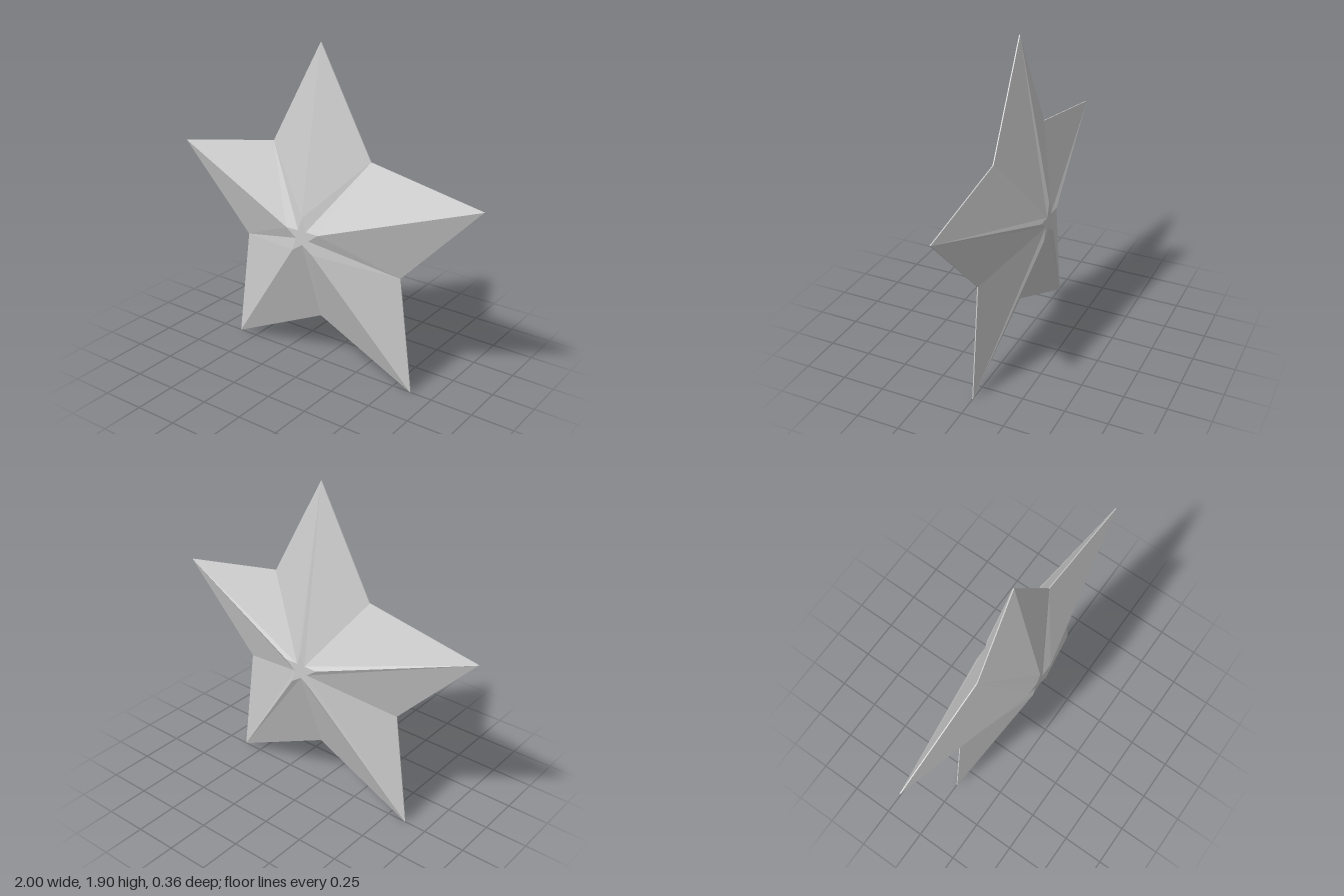
import * as THREE from 'three';

const CENTRE_Y = 0.851;

// Ten-cornered star outline, counter-clockwise seen from +z, starting at the top point
function starRing(outer, inner, z) {
  return Array.from({ length: 10 }, (_, i) => {
    const r = i % 2 ? inner : outer;
    const a = Math.PI / 2 + (i * Math.PI) / 5;
    return [r * Math.cos(a), r * Math.sin(a), z];
  });
}

function starGeometry() {
  // Cross-sections from back to front: small flat, rim, rim, small flat
  const rings = [
    starRing(0.113, 0.045, -0.18),
    starRing(1.0515, 0.556, -0.003),
    starRing(1.0515, 0.556, 0.003),
    starRing(0.113, 0.045, 0.18),
  ];
  const positions = [];
  const tri = (a, b, c) => positions.push(...a, ...b, ...c);

  for (let i = 0; i < 10; i++) {
    const j = (i + 1) % 10;
    // Sloping facets and thin rim, with diagonals mirrored on alternate sides
    for (let k = 0; k < 3; k++) {
      const a = rings[k][i], b = rings[k][j];
      const c = rings[k + 1][j], d = rings[k + 1][i];
      if (i % 2) {
        tri(a, b, c);
        tri(a, c, d);
      } else {
        tri(a, b, d);
        tri(b, c, d);
      }
    }
    // Small flat stars in the middle of the back and front
    tri([0, 0, -0.18], rings[0][j], rings[0][i]);
    tri([0, 0, 0.18], rings[3][i], rings[3][j]);
  }

  const geometry = new THREE.BufferGeometry();
  geometry.setAttribute('position', new THREE.Float32BufferAttribute(positions, 3));
  geometry.computeVertexNormals();
  return geometry;
}

export function createModel() {
  const group = new THREE.Group();
  group.name = 'fivePointedStar';
  const material = new THREE.MeshStandardMaterial({ color: 0xcccccc, flatShading: true });
  const star = new THREE.Mesh(starGeometry(), material);
  star.name = 'starBody';
  star.position.y = CENTRE_Y;
  group.add(star);
  return group;
}
